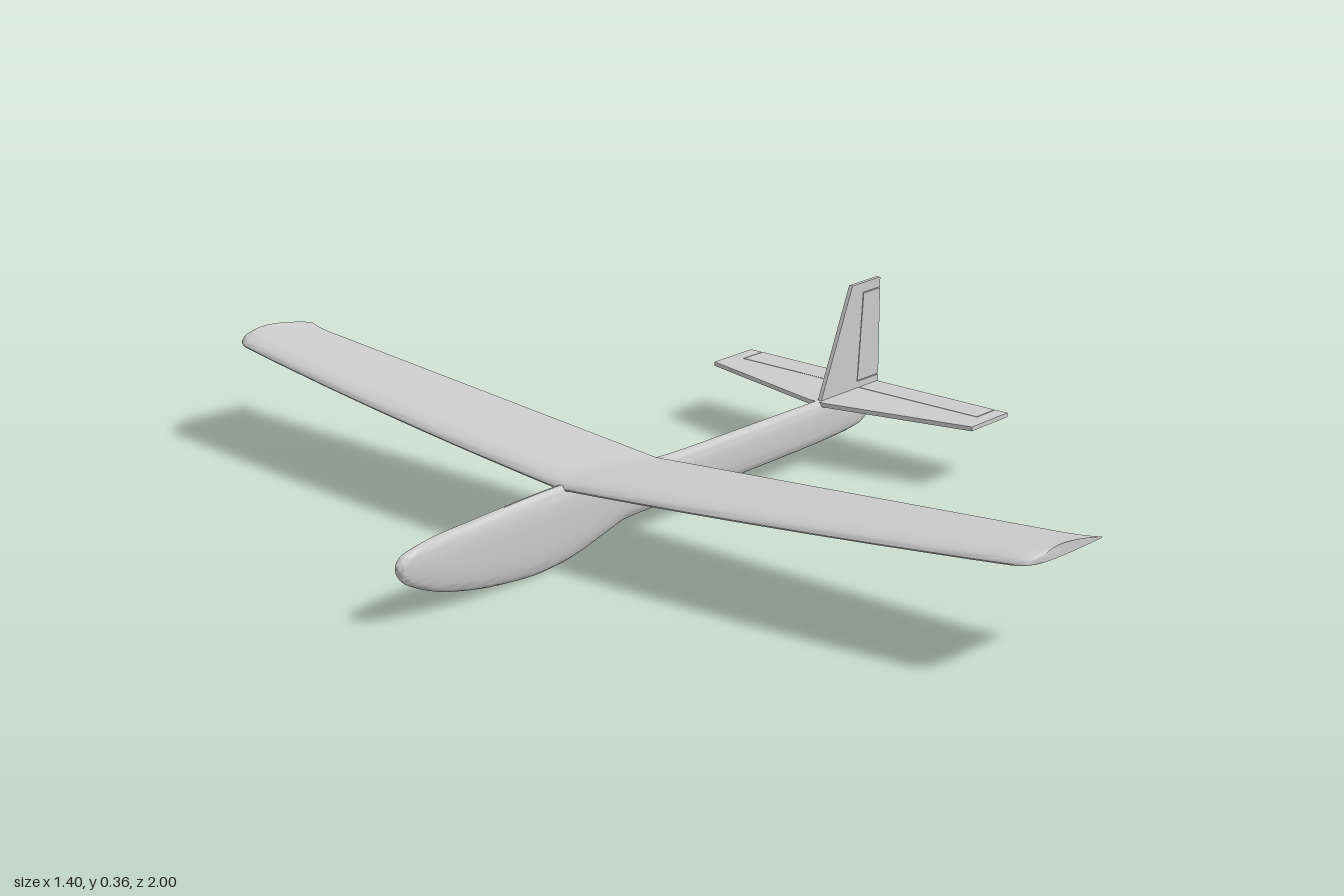
import * as THREE from 'three';
import { toCreasedNormals } from 'three/addons/utils/BufferGeometryUtils.js';

const material = new THREE.MeshStandardMaterial({ color: 0xcccccc, side: THREE.DoubleSide });

function addMesh(parent, name, geometry) {
  const mesh = new THREE.Mesh(geometry, material);
  mesh.name = name;
  parent.add(mesh);
}

// Skin closed rings of points (counterclockwise about the travel direction) and cap both ends.
function loft(rings, crease) {
  const n = rings[0].length, pos = [], index = [];
  for (const ring of rings) for (const p of ring) pos.push(...p);
  for (let i = 0; i < rings.length - 1; i++) {
    for (let k = 0; k < n; k++) {
      const a = i * n + k, b = i * n + (k + 1) % n;
      index.push(a, b, a + n, b, b + n, a + n);
    }
  }
  for (const end of [0, rings.length - 1]) {
    const c = pos.length / 3;
    for (let j = 0; j < 3; j++) pos.push(rings[end].reduce((s, p) => s + p[j], 0) / n);
    for (let k = 0; k < n; k++) {
      const a = end * n + k, b = end * n + (k + 1) % n;
      index.push(c, ...(end ? [a, b] : [b, a]));
    }
  }
  const g = new THREE.BufferGeometry();
  g.setAttribute('position', new THREE.Float32BufferAttribute(pos, 3));
  g.setIndex(index);
  return toCreasedNormals(g, crease);
}

// Fuselage: slim rounded sections between a top and a bottom profile.
function fuselage() {
  const table = [ // x, top, bottom, half width
    [-0.7, 0.118, 0.108, 0.003], [-0.692, 0.128, 0.092, 0.008], [-0.67, 0.138, 0.073, 0.012],
    [-0.6, 0.148, 0.042, 0.017], [-0.5, 0.152, 0.018, 0.019], [-0.4, 0.156, 0.005, 0.019],
    [-0.33, 0.158, 0.002, 0.019], [-0.25, 0.158, 0.009, 0.019], [-0.18, 0.155, 0.025, 0.019],
    [-0.12, 0.152, 0.041, 0.019], [-0.08, 0.149, 0.046, 0.019], [0.05, 0.14, 0.046, 0.018],
    [0.3, 0.138, 0.046, 0.017], [0.52, 0.137, 0.049, 0.015], [0.62, 0.134, 0.055, 0.012],
    [0.655, 0.133, 0.067, 0.01], [0.7, 0.131, 0.1, 0.006]];
  const curve = (f) => new THREE.CatmullRomCurve3(table.map(f), false, 'catmullrom', 0.5);
  const top = curve((r) => new THREE.Vector3(r[0], r[1], r[3]));
  const bottom = curve((r) => new THREE.Vector3(r[0], r[2], 0));
  const soft = (v) => Math.sign(v) * Math.abs(v) ** 0.75;
  const rings = [];
  for (let i = 0; i <= 64; i++) {
    const t = top.getPoint(i / 64), b = bottom.getPoint(i / 64), ring = [];
    for (let k = 0; k < 32; k++) {
      const a = k / 32 * Math.PI * 2;
      ring.push([t.x, (t.y + b.y) / 2 + (t.y - b.y) / 2 * soft(Math.cos(a)), t.z * soft(Math.sin(a))]);
    }
    rings.push(ring);
  }
  return loft(rings, 0.9);
}

// Airfoil section at span position z, swept leading edge, dihedral and rounded tip corner.
function airfoil(z) {
  const s = Math.abs(z);
  const corner = THREE.MathUtils.clamp((s - 0.96) / 0.04, 0, 1);
  const le = -0.272 + 0.03 * s + 0.055 * s * s + 0.035 * (1 - Math.sqrt(1 - corner * corner));
  const te = 0.018 * s + 0.012 * Math.max(0, (s - 0.93) / 0.07) ** 2;
  const y0 = 0.143 + 0.072 * s, size = (0.27 - 0.05 * s) / 0.22;
  const bulge = (t) => 10 * (0.2969 * Math.sqrt(t) - 0.126 * t - 0.3516 * t * t + 0.2843 * t ** 3 - 0.1036 * t ** 4);
  const point = (t, thick) => [le + (te - le) * t, y0 + size * (0.006 * (1 - t) + thick), z];
  const ring = [], N = 18;
  for (let k = 0; k <= N; k++) {
    const t = (1 + Math.cos(k / N * Math.PI)) / 2;
    ring.push(point(t, 0.018 * bulge(t) + 0.001));
  }
  for (let k = 1; k <= N; k++) {
    const t = (1 - Math.cos(k / N * Math.PI)) / 2;
    ring.push(point(t, -0.003 * bulge(t) - 0.001));
  }
  return ring;
}

function wing() {
  const half = [0.03, 0.1, 0.2, 0.3, 0.4, 0.5, 0.6, 0.7, 0.8, 0.88, 0.93, 0.96, 0.97, 0.98, 0.988, 0.995, 1];
  const stations = [...half.map((z) => -z).reverse(), 0, ...half];
  return loft(stations.map(airfoil), 0.8);
}

// Flat tail panel, thickness centred on its plane.
function panel(points) {
  const shape = new THREE.Shape(points.map((p) => new THREE.Vector2(...p)));
  return new THREE.ExtrudeGeometry(shape, { depth: 0.009, bevelEnabled: false }).translate(0, 0, -0.0045);
}

export function createModel() {
  const model = new THREE.Group();
  model.name = 'glider';
  addMesh(model, 'fuselage', fuselage());
  addMesh(model, 'wing', wing());

  // Fin with a separate rudder behind a hairline gap
  addMesh(model, 'fin', panel([[0.503, 0.125], [0.605, 0.36], [0.698, 0.36], [0.698, 0.339],
    [0.641, 0.339], [0.626, 0.15], [0.698, 0.15], [0.698, 0.125]]));
  addMesh(model, 'rudder', panel([[0.628, 0.152], [0.643, 0.337], [0.698, 0.337], [0.698, 0.152]]));

  // Tailplane with a separate elevator, laid flat
  const half = [[0.5, 0.02], [0.573, 0.336], [0.695, 0.336], [0.695, 0.306], [0.631, 0.306]];
  const mirrored = half.map(([x, z]) => [x, -z]).reverse();
  const flat = (pts) => panel(pts).rotateX(Math.PI / 2).translate(0, 0.132, 0);
  addMesh(model, 'tailplane', flat([...half, ...mirrored]));
  addMesh(model, 'elevator', flat([[0.633, -0.304], [0.695, -0.304], [0.695, 0.304], [0.633, 0.304]]));
  return model;
}
